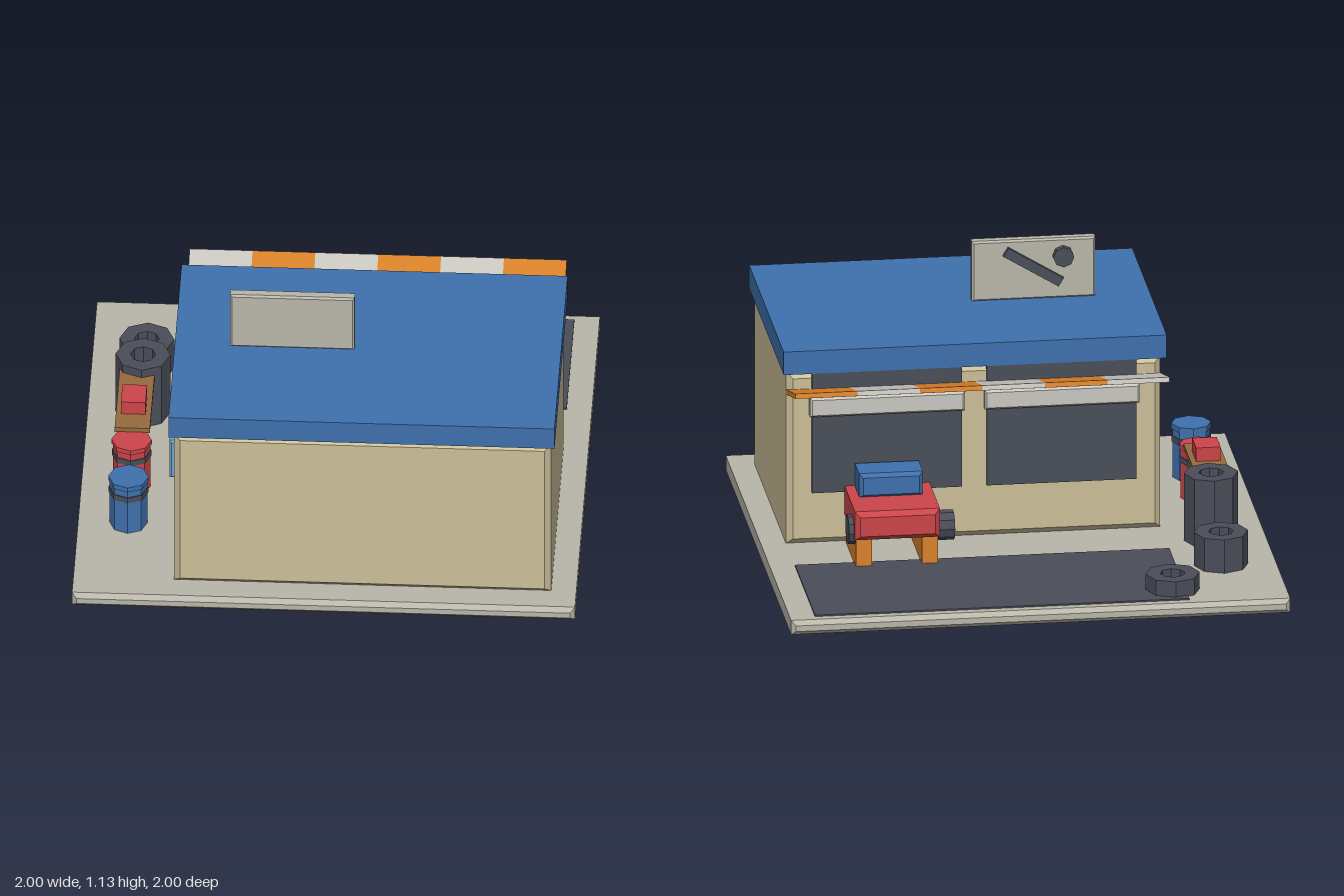
import * as THREE from 'three';

const mat = (name, color) => {
  const m = new THREE.MeshStandardMaterial({ color });
  m.name = name;
  return m;
};

export function createModel() {
  const concrete = mat('concrete', 0xb9b6aa), cream = mat('cream wall', 0xcbbf99);
  const blue = mat('blue paint', 0x3f70ad), orange = mat('orange', 0xd9822b);
  const dark = mat('dark rubber', 0x4a4e59), red = mat('red paint', 0xcb454a);
  const wood = mat('wood', 0x976a3f), glass = mat('window glass', 0x6fa5d0);
  const pale = mat('pale stripe', 0xc9c7c0);

  const model = new THREE.Group();
  model.name = 'garage';

  const add = (name, geo, material, parent = model) => {
    const mesh = new THREE.Mesh(geo, material);
    mesh.name = name;
    parent.add(mesh);
    return mesh;
  };

  // Box given by its extents, with an optional chamfer on every edge
  const box = (name, material, [x0, x1], [y0, y1], [z0, z1], c = 0, parent = model) => {
    const w = x1 - x0, h = y1 - y0, d = z1 - z0;
    let geo;
    if (c) {
      const a = w / 2 - c, b = h / 2 - c;
      const shape = new THREE.Shape([[-a, -b], [a, -b], [a, b], [-a, b]].map(p => new THREE.Vector2(...p)));
      geo = new THREE.ExtrudeGeometry(shape, {
        depth: d - 2 * c, bevelSize: c, bevelThickness: c, bevelSegments: 1,
      });
      geo.translate(0, 0, c - d / 2);
    } else geo = new THREE.BoxGeometry(w, h, d);
    const mesh = add(name, geo, material, parent);
    mesh.position.set((x0 + x1) / 2, (y0 + y1) / 2, (z0 + z1) / 2);
    return mesh;
  };

  // Eight-sided upright drum standing between two heights
  const drum = (name, material, r, y0, y1, x, z) => {
    const geo = new THREE.CylinderGeometry(r, r, y1 - y0, 8).toNonIndexed();
    geo.computeVertexNormals();
    add(name, geo, material).position.set(x, (y0 + y1) / 2, z);
  };

  // Ground, building and roof
  box('baseSlab', concrete, [-1, 1], [0, 0.06], [-1, 1], 0.018);
  box('driveway', dark, [-0.6, 0.9], [0.058, 0.066], [-0.95, -0.35]);
  box('walls', cream, [-0.6, 0.9], [0.06, 0.785], [-0.1, 0.9], 0.025);
  box('roof', blue, [-0.62, 0.915], [0.785, 0.882], [-0.12, 0.915]);

  // Two half-raised doors, each with a lintel
  for (const x of [-0.2, 0.5]) {
    box('door', dark, [x - 0.3, x + 0.3], [0.28, 0.785], [-0.116, -0.09]);
    box('lintel', pale, [x - 0.31, x + 0.31], [0.605, 0.685], [-0.135, -0.09], 0.008);
  }

  // Striped awning, tilted up towards its free edge
  const awning = new THREE.Group();
  awning.name = 'awning';
  awning.position.set(0, 0.738, -0.215);
  awning.rotation.x = 0.28;
  model.add(awning);
  for (let i = 0; i < 6; i++) {
    const x = -0.6 + i * 0.25;
    box('awningStripe', i % 2 ? orange : pale, [x, x + 0.25], [-0.01, 0.01], [-0.15, 0.15], 0, awning);
  }

  // Side windows
  for (const z of [0.27, 0.52])
    box('sideWindow', glass, [-0.631, -0.59], [0.37, 0.552], [z - 0.1, z + 0.1], 0.008);

  // Roof sign with a spanner on its back
  box('signBoard', concrete, [-0.4, 0.095], [0.88, 1.132], [0.375, 0.422], 0.008);
  const handle = add('spannerHandle', new THREE.BoxGeometry(0.26, 0.04, 0.02), dark);
  handle.position.set(-0.15, 1.02, 0.367);
  handle.rotation.z = 0.55;
  const headGeo = new THREE.CylinderGeometry(0.042, 0.042, 0.03, 8).toNonIndexed();
  headGeo.computeVertexNormals();
  const head = add('spannerHead', headGeo, dark);
  head.position.set(-0.27, 1.06, 0.362);
  head.rotation.x = Math.PI / 2;

  // Small car resting on two ramps
  box('carBody', red, [0.33, 0.67], [0.185, 0.305], [-0.445, -0.09], 0.02);
  box('carCabin', blue, [0.375, 0.63], [0.3, 0.402], [-0.265, -0.112], 0.015);
  for (const x of [0.365, 0.63])
    box('ramp', orange, [x - 0.032, x + 0.032], [0.06, 0.2], [-0.4, -0.09]);
  for (const [x, w] of [[0.3, 0.07], [0.67, 0.04]]) {
    const geo = new THREE.CylinderGeometry(0.06, 0.06, w, 10).toNonIndexed();
    geo.computeVertexNormals();
    const wheel = add('carWheel', geo, dark);
    wheel.position.set(x, 0.205, -0.345);
    wheel.rotation.z = Math.PI / 2;
  }

  // Tyre stacks: octagonal rings of different heights
  for (const [x, z, top] of [[-0.78, -0.25, 0.342], [-0.78, -0.55, 0.2], [-0.55, -0.82, 0.13]]) {
    const ring = r => Array.from({ length: 8 }, (_, i) =>
      new THREE.Vector2(Math.cos(i * Math.PI / 4) * r, Math.sin(i * Math.PI / 4) * r));
    const shape = new THREE.Shape(ring(0.109));
    shape.holes.push(new THREE.Path(ring(0.05)));
    const geo = new THREE.ExtrudeGeometry(shape, { depth: top - 0.06, bevelEnabled: false });
    geo.rotateX(-Math.PI / 2);
    add('tyreStack', geo, dark).position.set(x, 0.06, z);
  }

  // Oil drums with a dark band and a lid
  for (const [z, paint] of [[0.5, blue], [0.25, red]]) {
    drum('oilDrum', paint, 0.075, 0.06, 0.27, -0.8, z);
    drum('drumBand', dark, 0.079, 0.21, 0.235, -0.8, z);
    drum('drumLid', paint, 0.08, 0.265, 0.286, -0.8, z);
  }

  // Plank bench with a toolbox
  box('plank', wood, [-0.87, -0.73], [0.284, 0.305], [-0.2, 0.2]);
  box('toolbox', red, [-0.85, -0.752], [0.305, 0.362], [-0.015, 0.105]);

  return model;
}
